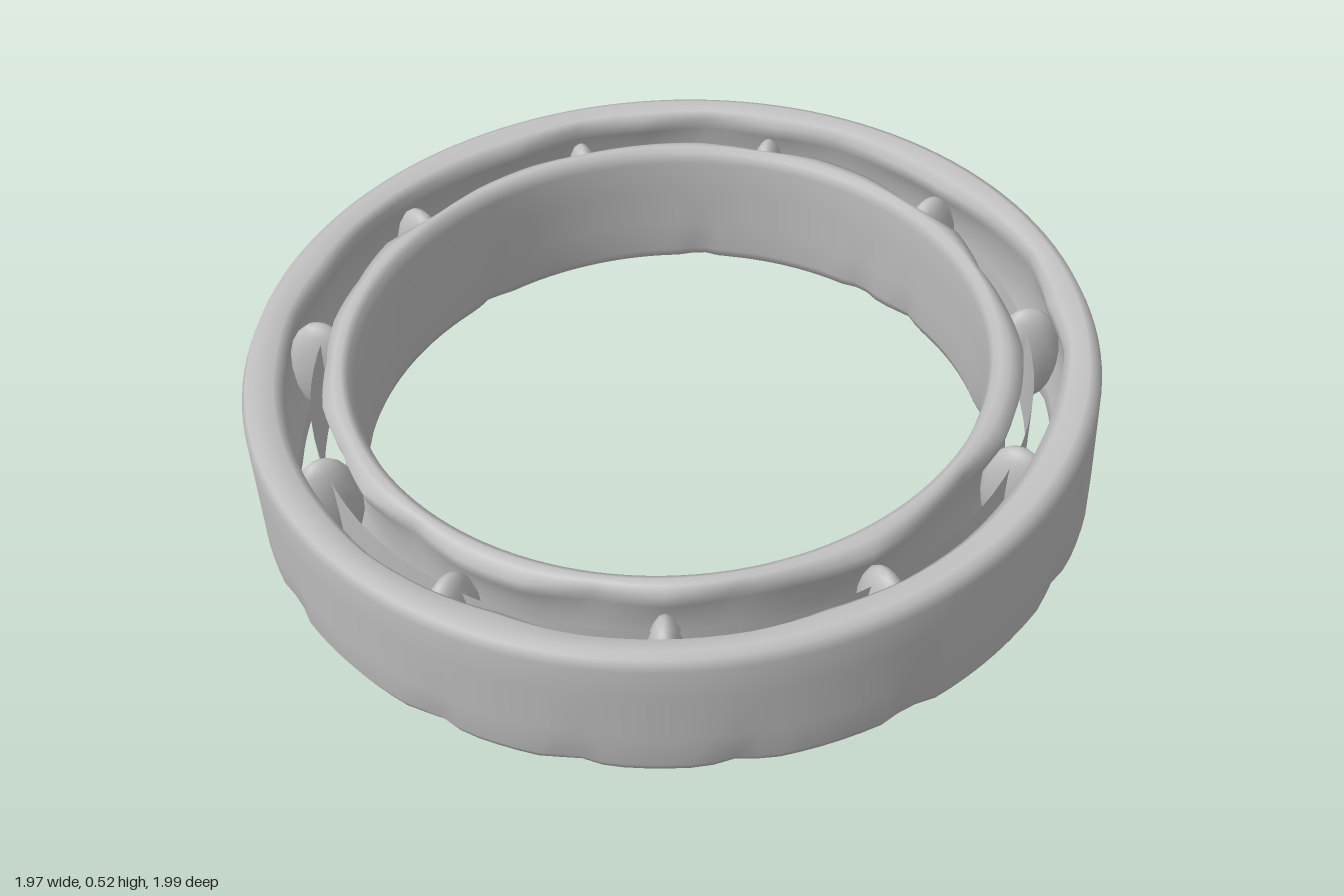
import * as THREE from 'three';

const SEGMENTS = 132;
const BALLS = 11;
const HALF = 0.177;   // half height of the rings
const TILT = 0.088;

// Small repeatable noise around the circle, -1 to 1
const wobble = (k, seed) => {
  const s = Math.sin((k % SEGMENTS) * 12.9898 + seed * 78.233) * 43758.5453;
  return (s - Math.floor(s)) * 2 - 1;
};

// Uneven edge: noise held at every fourth step and joined with straight lines
function ragged(j, seed) {
  const k = Math.floor(j / 4) * 4, t = (j - k) / 4;
  return wobble(k, seed) * (1 - t) + wobble(k + 4, seed) * t;
}

// Narrow dents at the given angles, in degrees
function dent(angle, list) {
  const deg = angle * 180 / Math.PI;
  let sum = 0;
  for (const d of list) {
    const off = Math.abs(((deg - d + 540) % 360) - 180);
    sum += Math.max(0, 1 - off / 4);
  }
  return Math.min(1, sum);
}

// Closed ring swept from a counterclockwise profile of [radius, y, raggedness, dent depth]
function ring(profile, dents, seed) {
  const pos = [], index = [], n = profile.length;
  for (let j = 0; j < SEGMENTS; j++) {
    const a = j / SEGMENTS * Math.PI * 2;
    const d = dent(a, dents);
    for (const [r, y, rough, depth] of profile) {
      const rr = r + rough * ragged(j, seed + (y > 0 ? 0 : 5)) + depth * d;
      pos.push(rr * Math.cos(a), y, rr * Math.sin(a));
    }
    const next = (j + 1) % SEGMENTS;
    for (let i = 0; i < n; i++) {
      const k = (i + 1) % n;
      const p = j * n + i, q = j * n + k, s = next * n + i, t = next * n + k;
      index.push(p, q, s, q, t, s);
    }
  }
  const g = new THREE.BufferGeometry();
  g.setAttribute('position', new THREE.Float32BufferAttribute(pos, 3));
  g.setIndex(index);
  g.computeVertexNormals();
  return g;
}

export function createModel() {
  const steel = new THREE.MeshStandardMaterial({ color: 0xc0c0c0, side: THREE.DoubleSide });
  steel.name = 'steel grey';
  const model = new THREE.Group();
  model.name = 'bearing';
  const tilted = new THREE.Group();
  tilted.name = 'tiltedBearing';
  tilted.rotation.x = TILT;
  tilted.position.y = 0.264;
  model.add(tilted);

  const add = (name, geometry, parent = tilted) => {
    const m = new THREE.Mesh(geometry, steel);
    m.name = name;
    parent.add(m);
    return m;
  };

  // Outer race: smooth outside wall, rounded rims, ragged lips and a ball groove inside
  add('outerRace', ring([
    [0.957, -HALF, 0, -0.012], [0.976, -0.169, 0, -0.015], [0.987, -0.145, 0, -0.012],
    [0.987, -0.06, 0, 0], [0.987, 0.06, 0, 0], [0.987, 0.145, 0, 0],
    [0.976, 0.169, 0, 0], [0.957, HALF, 0, 0],
    [0.915, 0.172, 0.008, 0], [0.897, 0.155, 0.016, 0], [0.902, 0.12, 0.016, 0],
    [0.93, 0.05, 0, 0], [0.93, -0.05, 0, 0],
    [0.902, -0.12, 0.016, 0], [0.897, -0.155, 0.016, 0], [0.915, -0.172, 0.008, 0],
  ], [146, 124, 96, 77, 57, 34, 6, -13, -32, 190, 222, 255, 280], 1));

  // Inner race: smooth bore, ragged lips and a groove outside
  add('innerRace', ring([
    [0.775, -0.17, 0.006, 0], [0.796, -0.155, 0.016, 0], [0.79, -0.12, 0.016, 0],
    [0.768, -0.05, 0, 0], [0.768, 0.05, 0, 0],
    [0.79, 0.12, 0.016, 0], [0.796, 0.155, 0.016, 0], [0.775, 0.17, 0.006, 0],
    [0.758, HALF - 0.002, 0, 0], [0.742, 0.166, 0, 0], [0.733, 0.14, 0, 0],
    [0.733, 0.05, 0, 0], [0.733, -0.05, 0, 0], [0.733, -0.14, 0, 0.01],
    [0.742, -0.166, 0, 0.014], [0.758, 0.002 - HALF, 0, 0.01],
  ], [20, 65, 110, 150, 205, 250, 285, 297, 330], 9));

  // Thin cage band between the races
  add('cage', new THREE.CylinderGeometry(0.838, 0.832, 0.2, 88, 1, true));

  // Narrow rolling elements bridging the gap
  const balls = new THREE.Group();
  balls.name = 'rollingElements';
  tilted.add(balls);
  const ballGeometry = new THREE.SphereGeometry(1, 12, 10);
  for (let i = 0; i < BALLS; i++) {
    const a = i / BALLS * Math.PI * 2;
    const ball = add('rollingElement', ballGeometry, balls);
    ball.position.set(0.848 * Math.cos(a), 0, 0.848 * Math.sin(a));
    ball.rotation.y = -a;
    ball.scale.set(0.085, 0.14, 0.045);
  }
  return model;
}
